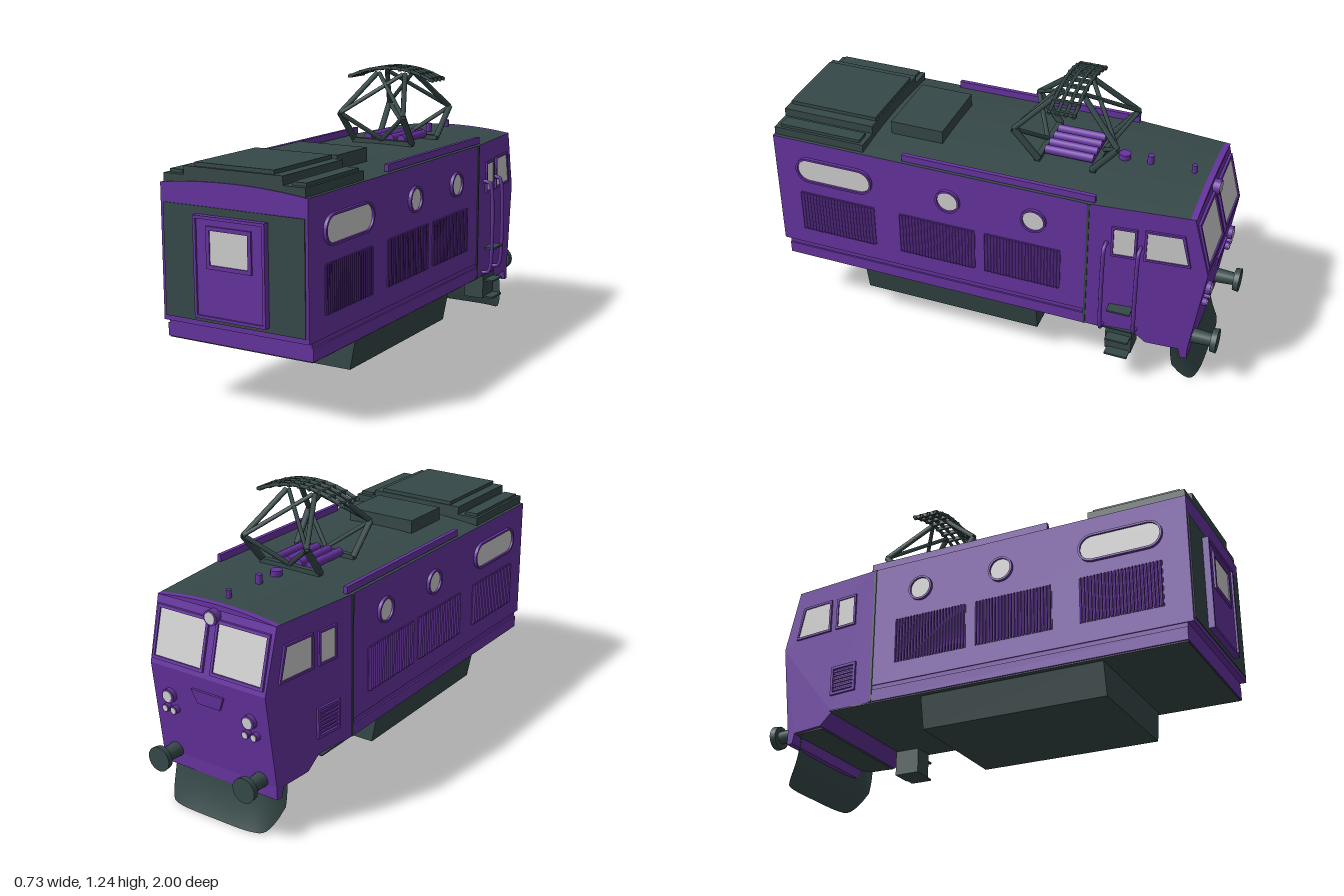
import * as THREE from 'three';
import { ParametricGeometry } from 'three/addons/geometries/ParametricGeometry.js';

const mat = (name, color, side = THREE.FrontSide) => Object.assign(new THREE.MeshStandardMaterial({ color, side }), { name });
const purple = mat('purple paint', 0x6633a0);
const dark = mat('dark slate', 0x364848, THREE.DoubleSide);
const glass = mat('pale glass', 0xd0d0d0);

// Half width of the body: constant, then tapering along the cab
const half = z => 0.335 - 0.104 * Math.max(0, -0.45 - z);
// Depth of the cab nose at a given height
const noseZ = y => (y > 0.62 ? -0.94 + (y - 0.62) * 0.264 : -0.94 + (0.62 - y) * 0.13);

export function createModel() {
  const root = new THREE.Group();
  const loco = new THREE.Group();
  loco.name = 'locomotive';
  loco.position.x = -0.015;
  root.add(loco);

  const add = (name, geo, material, x = 0, y = 0, z = 0) => {
    const m = new THREE.Mesh(geo, material);
    m.name = name;
    m.position.set(x, y, z);
    loco.add(m);
    return m;
  };
  const box = (name, material, x0, x1, y0, y1, z0, z1) =>
    add(name, new THREE.BoxGeometry(x1 - x0, y1 - y0, z1 - z0), material, (x0 + x1) / 2, (y0 + y1) / 2, (z0 + z1) / 2);
  const poly = pts => new THREE.Shape(pts.map(p => new THREE.Vector2(...p)));
  const rect = (a, b, c, d) => poly([[a, c], [b, c], [b, d], [a, d]]);
  const pill = (c, y, len, r) => {
    const s = new THREE.Shape();
    s.absarc(c + len, y, r, -Math.PI / 2, Math.PI / 2);
    s.absarc(c - len, y, r, Math.PI / 2, Math.PI * 1.5);
    return s;
  };
  const ring = (outer, inner) => { outer.holes.push(inner); return outer; };

  // Extrude a shape and move its vertices by a rule; flip where the rule mirrors
  const mapped = (shape, depth, rule, flip) => {
    const g = new THREE.ExtrudeGeometry(shape, { depth, bevelEnabled: false, curveSegments: 14 });
    const p = g.attributes.position;
    for (let i = 0; i < p.count; i++) p.setXYZ(i, ...rule(p.getX(i), p.getY(i), p.getZ(i)));
    if (flip) for (let i = 0; i < p.count; i += 3) {
      const a = [p.getX(i), p.getY(i), p.getZ(i)];
      p.setXYZ(i, p.getX(i + 1), p.getY(i + 1), p.getZ(i + 1));
      p.setXYZ(i + 1, ...a);
    }
    g.computeVertexNormals();
    return g;
  };
  // Shape drawn in (z, y), laid on the left (s = 1) or right (s = -1) wall
  const onSide = (name, material, shape, s, depth) =>
    add(name, mapped(shape, depth, (z, y, d) => [s * (half(z) + d), y, z], s > 0), material);
  // Shape drawn in (x, y), laid on the nose
  const onNose = (name, material, shape, depth) =>
    add(name, mapped(shape, depth, (x, y, d) => [x, y, noseZ(y) - d], true), material);
  const bar = (name, material, pts, r, sides = 6) =>
    add(name, new THREE.TubeGeometry(new THREE.CatmullRomCurve3(pts.map(p => new THREE.Vector3(...p)), false, 'centripetal'), pts.length > 2 ? 24 : 1, r, sides), material);

  // Main body with skirt
  box('body', purple, -0.335, 0.335, 0.34, 0.885, -0.45, 0.97);
  box('bodyGroove', purple, -0.33, 0.33, 0.318, 0.34, -0.45, 0.945);
  box('skirt', purple, -0.337, 0.337, 0.267, 0.32, -0.45, 0.945);
  box('floor', dark, -0.33, 0.33, 0.262, 0.268, -0.65, 0.94);

  // Tapered cab
  const cabProfile = poly([[-0.45, 0.266], [-0.45, 0.885], [-0.87, 0.885], [-0.94, 0.62], [-0.888, 0.22], [-0.888, 0.165],
    [-0.86, 0.165], [-0.85, 0.21], [-0.71, 0.215], [-0.65, 0.266]]);
  add('cab', mapped(cabProfile, 1, (z, y, d) => [(1 - 2 * d) * half(z), y, z]), purple);
  add('cabFloor', mapped(rect(-0.95, 0.95, 0.207, 0.214), 1, (x, y, d) => [x * half(-0.85 + 0.14 * d), y, -0.85 + 0.14 * d]), dark);

  // Arched roof sections
  const arch = [];
  for (let i = 0; i <= 12; i++) { const t = 1 - i / 6; arch.push([t, 0.885 + 0.022 * (1 - t * t)]); }
  const roof = (name, material, z0, z1) =>
    add(name, mapped(poly(arch), 1, (x, y, d) => { const z = z0 + d * (z1 - z0); return [x * half(z), y, z]; }), material);
  roof('mainRoof', dark, -0.45, 0.962);
  roof('cabRoof', dark, -0.85, -0.45);
  roof('frontRoofArch', purple, 0.962, 0.97);
  roof('cabBrow', purple, -0.875, -0.85);

  // Roof equipment
  box('roofSideBoxes', dark, -0.322, 0.322, 0.885, 0.922, 0.55, 0.965);
  box('roofHousing', dark, -0.225, 0.225, 0.9, 0.957, 0.55, 0.965);
  box('roofHatch', dark, -0.18, 0.18, 0.957, 0.973, 0.555, 0.955);
  box('roofBox', dark, -0.163, 0.163, 0.89, 0.96, 0.255, 0.49);
  for (const s of [-1, 1]) {
    const x = s * 0.318;
    box('roofRail', purple, x - 0.009, x + 0.009, 0.89, 0.92, -0.47, 0.37);
    box('roofLouvre', dark, s * 0.28 - 0.03, s * 0.28 + 0.03, 0.92, 0.935, 0.57, 0.94);
  }
  for (const [z, r, top] of [[-0.495, 0.025, 0.93], [-0.605, 0.014, 0.945], [-0.79, 0.011, 0.94]])
    add('roofHorn', new THREE.CylinderGeometry(r, r, top - 0.89, 14), purple, 0, (top + 0.89) / 2, z);

  // End face with door
  box('endPanel', dark, -0.322, 0.322, 0.36, 0.81, 0.965, 0.974);
  box('endDoor', purple, -0.163, 0.163, 0.38, 0.78, 0.97, 0.992);
  const frame = (name, x, y0, y1, w, z0, depth) =>
    add(name, new THREE.ExtrudeGeometry(ring(rect(-x, x, y0, y1), rect(-x + w, x - w, y0 + w, y1 - w)), { depth, bevelEnabled: false }), purple, 0, 0, z0);
  frame('doorFrame', 0.163, 0.38, 0.78, 0.012, 0.985, 0.015);
  frame('doorWindowFrame', 0.103, 0.578, 0.743, 0.016, 0.985, 0.015);
  box('doorWindow', glass, -0.087, 0.087, 0.594, 0.727, 0.99, 0.995);

  // Side windows, grilles and cab side details, mirrored
  for (const s of [-1, 1]) {
    for (const [z, len, r] of [[0.69, 0.118, 0.052], [0.163, 0, 0.046], [-0.216, 0, 0.046]]) {
      onSide('sideWindow', glass, pill(z, 0.745, len, r), s, 0.005);
      onSide('sideWindowRim', purple, ring(pill(z, 0.745, len, r + 0.009), pill(z, 0.745, len, r)), s, 0.014);
    }
    for (const [z0, z1] of [[0.51, 0.86], [0.045, 0.39], [-0.335, 0]]) {
      onSide('grillePanel', purple, rect(z0, z1, 0.425, 0.62), s, 0.003);
      const n = 24, step = (z1 - z0) / n;
      for (let i = 0; i < n; i++) {
        const slat = add('grilleSlat', new THREE.BoxGeometry(0.004, 0.193, step * 0.95), purple, s * 0.341, 0.5225, z0 + (i + 0.5) * step);
        slat.rotation.y = s * 0.7;
      }
    }
    const quads = [
      [[-0.555, 0.66], [-0.555, 0.785], [-0.64, 0.785], [-0.64, 0.66]],
      [[-0.69, 0.66], [-0.69, 0.79], [-0.828, 0.79], [-0.86, 0.66]]];
    for (const q of quads) {
      const cz = (q[0][0] + q[2][0]) / 2, cy = 0.7225;
      const outer = q.map(([z, y]) => [z + Math.sign(z - cz) * 0.01, y + Math.sign(y - cy) * 0.01]);
      onSide('cabSideWindow', glass, poly(q), s, 0.004);
      onSide('cabSideWindowFrame', purple, ring(poly(outer), poly(q)), s, 0.009);
    }
    onSide('cabJoint', dark, rect(-0.451, -0.441, 0.267, 0.885), s, 0.004);
  }

  // Right cab wall grille
  onSide('cabGrilleFrame', purple, ring(rect(-0.66, -0.53, 0.34, 0.47), rect(-0.648, -0.542, 0.352, 0.458)), -1, 0.01);
  for (let i = 0; i < 6; i++) onSide('cabGrilleSlat', purple, rect(-0.648, -0.542, 0.358 + i * 0.017, 0.366 + i * 0.017), -1, 0.007);

  // Left cab handrails and steps
  for (const z of [-0.525, -0.665]) {
    const x = half(z);
    bar('handrail', purple, [[x - 0.01, 0.28, z], [x + 0.03, 0.285, z], [x + 0.04, 0.31, z], [x + 0.04, 0.68, z], [x + 0.03, 0.705, z], [x - 0.01, 0.71, z]], 0.009, 8);
  }
  box('stepBox', dark, 0.23, 0.325, 0.15, 0.266, -0.655, -0.54);
  for (const y of [0.155, 0.235, 0.39]) box('stepPlate', dark, 0.3, 0.37, y - 0.004, y + 0.004, -0.65, -0.55);

  // Nose windscreens, badge plate and lamps
  for (const s of [-1, 1]) {
    const pane = (g, inner) => rect(Math.min(s * (0.03 - g), s * (inner + g)), Math.max(s * (0.03 - g), s * (inner + g)), 0.655 - g, 0.84 + g);
    onNose('windscreen', glass, pane(0, 0.262), 0.004);
    onNose('windscreenFrame', purple, ring(pane(0.012, 0.262), pane(0, 0.262)), 0.01);
    for (const [x, y, r] of [[0.2, 0.495, 0.03], [0.18, 0.435, 0.017], [0.222, 0.435, 0.017]]) {
      const z = noseZ(y);
      add('lampHousing', new THREE.CylinderGeometry(r, r, 0.04, 18).rotateX(Math.PI / 2), purple, s * x, y, z - 0.002);
      add('lampLens', new THREE.CylinderGeometry(r * 0.75, r * 0.75, 0.006, 18).rotateX(Math.PI / 2), glass, s * x, y, z - 0.022);
    }
    // Buffers
    add('bufferShaft', new THREE.CylinderGeometry(0.028, 0.034, 0.1, 16).rotateX(-Math.PI / 2), dark, s * 0.215, 0.235, -0.925);
    add('bufferHead', new THREE.CylinderGeometry(0.053, 0.05, 0.026, 20).rotateX(-Math.PI / 2), dark, s * 0.215, 0.235, -0.987);
  }
  onNose('nosePlate', purple, poly([[-0.055, 0.5], [0.055, 0.5], [0.08, 0.56], [-0.08, 0.56]]), 0.01);
  add('topLampHousing', new THREE.CylinderGeometry(0.032, 0.032, 0.06, 18).rotateX(Math.PI / 2), purple, 0, 0.86, -0.875);
  add('topLampLens', new THREE.CylinderGeometry(0.024, 0.024, 0.006, 18).rotateX(Math.PI / 2), glass, 0, 0.86, -0.905);

  // Underframe tank
  add('underTank', new THREE.ExtrudeGeometry(poly([[-0.28, 0.125], [0.28, 0.125], [0.307, 0.266], [-0.307, 0.266]]), { depth: 0.81, bevelEnabled: false }), dark, 0, 0, -0.22);

  // Curved plough
  add('plough', new ParametricGeometry((u, v, p) => {
    const t = 2 * u - 1, a = Math.abs(t);
    const bottom = 0.004 + 0.1 * Math.pow(Math.max(0, (a - 0.75) / 0.25), 2.5);
    const y = 0.22 - v * (0.22 - bottom), k = 1 - y / 0.22;
    p.set(0.284 * t, y, -0.882 + 0.068 * a ** 5 - 0.05 * k * k);
  }, 40, 12), dark);

  // Pantograph
  const cz = -0.282;
  for (let i = 0; i < 4; i++)
    add('insulator', new THREE.CylinderGeometry(0.019, 0.019, 0.21, 10).rotateX(Math.PI / 2), purple, -0.084 + i * 0.056, 0.929, cz);
  for (const sz of [-1, 1]) {
    box('pantographBase', dark, -0.15, 0.15, 0.905, 0.925, cz + sz * 0.12 - 0.012, cz + sz * 0.12 + 0.012);
    for (const sx of [-1, 1]) {
      const knee = [sx * 0.157, 1.045, cz + sz * 0.222], z = cz + sz * 0.045;
      bar('lowerArm', dark, [[sx * 0.145, 0.915, cz + sz * 0.115], knee], 0.015);
      bar('lowerBrace', dark, [[0, 0.925, cz + sz * 0.125], knee], 0.01);
      bar('upperArm', dark, [knee, [sx * 0.07, 1.21, z]], 0.012);
      bar('upperBrace', dark, [knee, [-sx * 0.06, 1.21, z]], 0.009);
    }
  }
  const bow = x => 1.236 - 1.05 * x * x;
  for (const dz of [-0.052, -0.018, 0.018, 0.052])
    bar('contactBow', dark, [-0.215, -0.11, 0, 0.11, 0.215].map(x => [x, bow(x), cz + dz]), 0.008);
  for (let i = 0; i < 9; i++) {
    const x = -0.2 + i * 0.05;
    box('bowSlat', dark, x - 0.006, x + 0.006, bow(x) - 0.01, bow(x) + 0.006, cz - 0.06, cz + 0.06);
  }
  return root;
}
